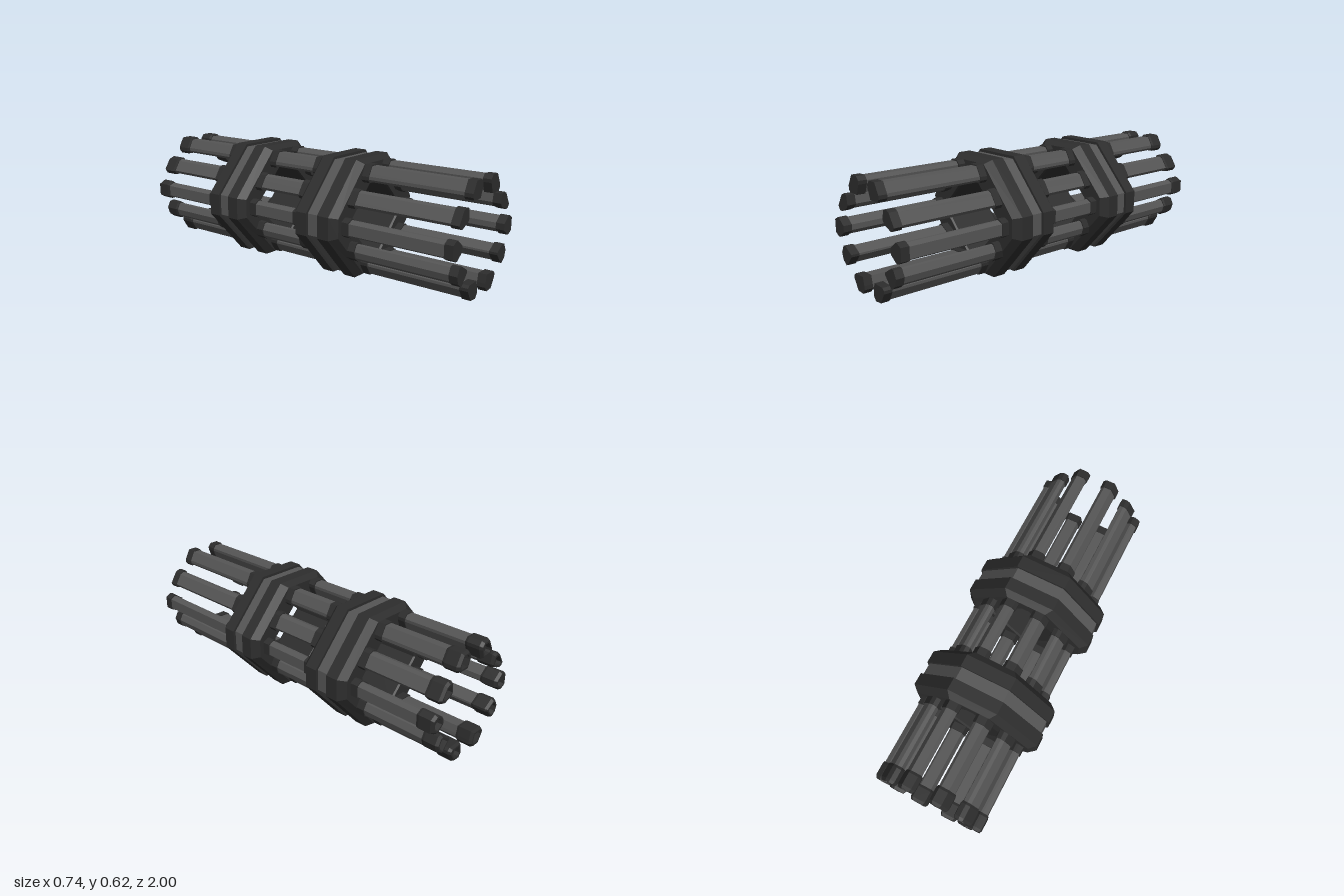
import * as THREE from 'three';

const dark = new THREE.MeshStandardMaterial({ color: 0x2d2d2d });
dark.name = 'charcoal';
const grey = new THREE.MeshStandardMaterial({ color: 0x555555 });
grey.name = 'steelGrey';
dark.flatShading = grey.flatShading = true;

// Skins a list of equal-length loops [[x, y, z], ...] with flat faces
function loft(loops) {
  const pos = [];
  for (let s = 0; s + 1 < loops.length; s++) {
    const a = loops[s], b = loops[s + 1], n = a.length;
    for (let i = 0; i < n; i++) {
      const j = (i + 1) % n;
      pos.push(...a[i], ...a[j], ...b[j], ...a[i], ...b[j], ...b[i]);
    }
  }
  const g = new THREE.BufferGeometry();
  g.setAttribute('position', new THREE.Float32BufferAttribute(pos, 3));
  g.computeVertexNormals();
  return g;
}

function addMesh(parent, name, loops, material) {
  const m = new THREE.Mesh(loft(loops), material);
  m.name = name;
  parent.add(m);
}

// Octagon: side vertices (w, sy), top vertices (tx, h), counterclockwise
const CY = 0.312;
const octagon = ([w, sy, tx, h], z) => [
  [w, -sy], [w, sy], [tx, h], [-tx, h], [-w, sy], [-w, -sy], [-tx, -h], [tx, -h],
].map(([x, y]) => [x, y + CY, z]);

const OUTER = [0.368, 0.059, 0.14, 0.312];
const FACE = [0.33, 0.05, 0.112, 0.29];
const GROOVE = [0.354, 0.056, 0.134, 0.298];
const INNER = [0.212, 0.025, 0.018, 0.224];
const INNER_FACE = [0.218, 0.027, 0.02, 0.23];

function clampRing(name, z) {
  const g = new THREE.Group();
  g.name = name;
  const o = (p, dz) => octagon(p, dz);
  // Rear half, front half and bore of the collar
  addMesh(g, 'ringRear', [o(INNER, -0.128), o(INNER_FACE, -0.138), o(FACE, -0.138),
    o(OUTER, -0.104), o(OUTER, -0.035), o(GROOVE, -0.035)], dark);
  addMesh(g, 'ringFront', [o(GROOVE, 0.035), o(OUTER, 0.035), o(OUTER, 0.104),
    o(FACE, 0.138), o(INNER_FACE, 0.138), o(INNER, 0.128)], dark);
  addMesh(g, 'ringBore', [o(INNER, 0.128), o(INNER, -0.128)], dark);
  // Recessed lighter band
  addMesh(g, 'ringBand', [o(GROOVE, -0.035), o(GROOVE, 0.035)], grey);
  g.position.z = z;
  return g;
}

// Rounded-triangle sections of the bars on one side, from top to bottom
const SECTIONS = {
  top: [[.043, .564], [.042, .582], [.059, .602], [.107, .602], [.138, .546], [.138, .527], [.127, .513], [.063, .512]],
  upper: [[.164, .44], [.172, .489], [.196, .495], [.219, .485], [.259, .422], [.247, .404], [.229, .4], [.176, .422]],
  middle: [[.221, .325], [.265, .359], [.277, .359], [.306, .343], [.306, .276], [.277, .26], [.265, .26], [.221, .292]],
  lower: [[.16, .191], [.217, .225], [.235, .221], [.255, .183], [.243, .144], [.215, .124], [.204, .128], [.16, .179]],
  bottom: [[.055, .108], [.128, .106], [.14, .093], [.14, .077], [.107, .023], [.061, .02], [.043, .043], [.045, .063]],
};

function bar(name, section, side) {
  const g = new THREE.Group();
  g.name = name;
  let pts = section.map(([x, y]) => new THREE.Vector2(x * side, y));
  if (THREE.ShapeUtils.isClockWise(pts)) pts.reverse();
  const c = pts.reduce((s, p) => s.add(p), new THREE.Vector2()).divideScalar(pts.length);
  // Each step is [scale of the section, z]
  const skin = (steps) => steps.map(([k, z]) =>
    pts.map((p) => [c.x + (p.x - c.x) * k, c.y + (p.y - c.y) * k, z]));

  addMesh(g, 'barBody', skin([[0.87, -0.95], [0.87, 0.97]]), grey);
  addMesh(g, 'frontCap', skin([[0.8, 0.955], [1, 0.955], [1, 1], [0, 1]]), dark);
  addMesh(g, 'rearCap', skin([[0, -0.975], [0.6, -0.975], [0.65, -1], [0.86, -1],
    [1.04, -0.985], [1.04, -0.92], [0.96, -0.907], [0.8, -0.907]]), dark);
  // Sleeves standing out on both sides of each ring
  for (const [z0, z1] of [[0.07, 0.428], [-0.555, -0.195]]) {
    addMesh(g, 'sleeve', skin([[0.8, z0], [1, z0], [1, z1], [0.8, z1]]), dark);
  }
  return g;
}

export function createModel() {
  const model = new THREE.Group();
  model.name = 'barCluster';
  model.add(clampRing('frontRing', 0.249), clampRing('rearRing', -0.375));
  for (const [name, section] of Object.entries(SECTIONS)) {
    model.add(bar(name + 'LeftBar', section, 1), bar(name + 'RightBar', section, -1));
  }
  return model;
}
